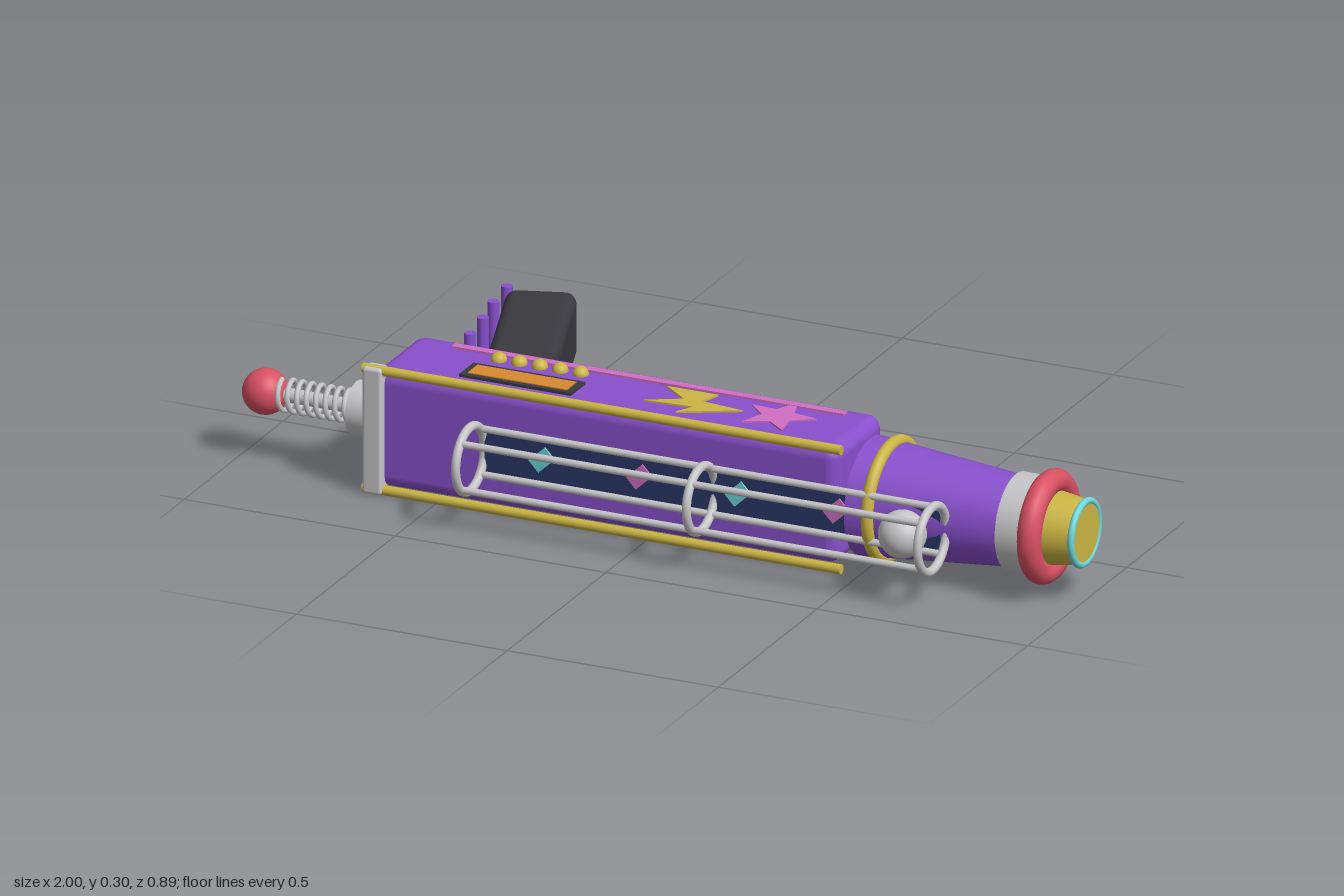
import * as THREE from 'three';
import { RoundedBoxGeometry } from 'three/addons/geometries/RoundedBoxGeometry.js';

const mat = (name, color) => {
  const m = new THREE.MeshStandardMaterial({ color });
  m.name = name;
  return m;
};

export function createModel() {
  const purple = mat('purple', 0x8850cc), gold = mat('gold', 0xcbb544), red = mat('red', 0xd95063);
  const steel = mat('steel', 0xc6c6c8), charcoal = mat('charcoal', 0x3a393f), navy = mat('navy', 0x2c3768);
  const cyan = mat('cyan', 0x6cd6da), pink = mat('pink', 0xd06fc4), orange = mat('orange', 0xd88a30);
  const root = new THREE.Group();
  root.name = 'toyBlaster';
  const Y = 0.15, Z = 0.193; // main axis of body and barrel

  const add = (name, geo, m, x = 0, y = 0, z = 0, parent = root) => {
    const mesh = new THREE.Mesh(geo, m);
    mesh.name = name;
    mesh.position.set(x, y, z);
    parent.add(mesh);
    return mesh;
  };
  const box = (name, m, sx, sy, sz, x, y, z) => add(name, new THREE.BoxGeometry(sx, sy, sz), m, x, y, z);
  // cylinder along x; r0 at the -x end, r1 at the +x end
  const rod = (name, m, r0, r1, x0, x1, y, z, seg = 40) =>
    add(name, new THREE.CylinderGeometry(r1, r0, x1 - x0, seg).rotateZ(-Math.PI / 2), m, (x0 + x1) / 2, y, z);
  const ring = (name, m, R, r, x, y, z) =>
    add(name, new THREE.TorusGeometry(R, r, 14, 48).rotateY(Math.PI / 2), m, x, y, z);
  // thin plate lying flat; outline given as [x, z]
  const plate = (name, m, pts, y, t = 0.006) => {
    const s = new THREE.Shape(pts.map(([x, z]) => new THREE.Vector2(x, -z)));
    return add(name, new THREE.ExtrudeGeometry(s, { depth: t, bevelEnabled: false }).rotateX(-Math.PI / 2), m, 0, y, 0);
  };

  // Body, end bar and edge rails
  add('body', new RoundedBoxGeometry(1.105, 0.27, 0.24, 4, 0.03), purple, -0.102, Y, 0.172);
  add('endBar', new RoundedBoxGeometry(0.046, 0.292, 0.04, 2, 0.008), steel, -0.645, 0.149, 0.291);
  for (const y of [0.012, 0.287]) rod('edgeRail', gold, 0.011, 0.011, -0.672, 0.462, y, 0.294, 16);

  // Playfield panel with diamonds
  box('playfield', navy, 1.08, 0.1, 0.014, 0.16, Y, 0.297);
  [-0.243, -0.012, 0.222, 0.455].forEach((x, i) => {
    box('diamond', i % 2 ? pink : cyan, 0.052, 0.034, 0.006, x, Y, 0.305).rotation.z = 0.75;
  });

  // Ball cage
  const CZ = 0.366;
  for (const x of [-0.385, 0.162, 0.71]) ring('cageRing', steel, 0.073, 0.01, x, Y, CZ);
  for (const sy of [-1, 1]) for (const sz of [-1, 1])
    rod('cageRail', steel, 0.008, 0.008, -0.385, 0.71, Y + sy * 0.053, CZ + sz * 0.05, 12);
  add('ball', new THREE.SphereGeometry(0.053, 32, 20), steel, 0.64, Y, CZ);

  // Barrel and muzzle
  rod('barrel', purple, 0.132, 0.1, 0.482, 0.83, Y, Z);
  ring('barrelBand', gold, 0.128, 0.014, 0.535, Y, Z);
  for (const y of [0.072, 0.228]) rod('barrelStrut', gold, 0.016, 0.016, 0.43, 0.5, y, 0.105, 16);
  rod('muzzleCollar', steel, 0.108, 0.108, 0.828, 0.89, Y, Z);
  ring('muzzleBumper', red, 0.1, 0.027, 0.906, Y, Z);
  rod('muzzle', gold, 0.086, 0.07, 0.89, 0.996, Y, Z);
  ring('muzzleRing', cyan, 0.07, 0.008, 0.991, Y, Z);
  // zigzag badge on the back of the barrel
  const zig = [[-0.035, -0.02], [-0.015, 0.025], [0.005, -0.002], [0.025, 0.025], [0.037, -0.02],
    [0.022, -0.002], [0.003, -0.028], [-0.015, -0.004]];
  const badge = add('barrelBadge', new THREE.ExtrudeGeometry(
    new THREE.Shape(zig.map(p => new THREE.Vector2(...p))), { depth: 0.008, bevelEnabled: false }),
  gold, 0.755, Y, 0.086);
  badge.rotation.y = Math.PI - 0.09;

  // Plunger with spring
  rod('plungerSocket', steel, 0.06, 0.06, -0.733, -0.64, Y, Z + 0.003);
  rod('plungerRod', steel, 0.016, 0.016, -0.92, -0.72, Y, Z + 0.003, 16);
  class Helix extends THREE.Curve {
    getPoint(t, out = new THREE.Vector3()) {
      const a = t * Math.PI * 2 * 8;
      return out.set(-0.91 + t * 0.18, Math.cos(a) * 0.034, Math.sin(a) * 0.034);
    }
  }
  add('plungerSpring', new THREE.TubeGeometry(new Helix(), 200, 0.006, 8), steel, 0, Y, Z + 0.003);
  add('plungerKnob', new THREE.SphereGeometry(0.051, 32, 20), red, -0.949, Y, Z + 0.003);

  // Decorations on the upper and lower faces
  const star = [];
  for (let i = 0; i < 10; i++) {
    const a = i * Math.PI / 5 - Math.PI / 2 + 0.1, r = i % 2 ? 0.037 : 0.085;
    star.push([0.255 + Math.cos(a) * r, 0.172 + Math.sin(a) * r]);
  }
  for (const y of [0.283, 0.011]) {
    plate('star', pink, star, y);
    box('stripe', pink, 0.93, 0.008, 0.02, -0.085, y + 0.003, 0.098);
  }
  plate('bolt', gold, [[-0.035, 0.118], [0.088, 0.118], [0.072, 0.166], [0.175, 0.178], [0.045, 0.245],
    [0.068, 0.203], [-0.045, 0.212], [0.03, 0.17]], 0.283);
  box('displayFrame', charcoal, 0.265, 0.01, 0.074, -0.333, 0.286, 0.213);
  box('display', orange, 0.235, 0.008, 0.05, -0.333, 0.289, 0.213);
  for (let i = 0; i < 5; i++)
    add('button', new THREE.SphereGeometry(0.018, 20, 12), gold, -0.428 + i * 0.0485, 0.286, 0.128);

  // Grip with finger bars
  const grip = add('grip', new RoundedBoxGeometry(0.155, 0.156, 0.44, 4, 0.026), charcoal, -0.515, 0.148, -0.218);
  grip.rotation.y = 0.325;
  [[-0.654, -0.397], [-0.643, -0.304], [-0.624, -0.21], [-0.61, -0.115]].forEach(([x, z]) =>
    add('fingerBar', new THREE.CylinderGeometry(0.013, 0.013, 0.164, 16), purple, x, 0.148, z));

  // Trigger and guard
  const pivot = rod('triggerPivot', steel, 0.047, 0.047, -0.425, -0.4, Y, -0.027);
  pivot.rotation.y = 0.2;
  const trigger = rod('trigger', red, 0.034, 0.034, -0.41, -0.375, Y, -0.02);
  trigger.rotation.y = 0.2;
  add('guardArm', new RoundedBoxGeometry(0.16, 0.028, 0.024, 3, 0.009), gold, -0.333, Y, -0.12);
  add('guardTip', new RoundedBoxGeometry(0.024, 0.028, 0.142, 3, 0.009), gold, -0.263, Y, -0.061);

  return root;
}
